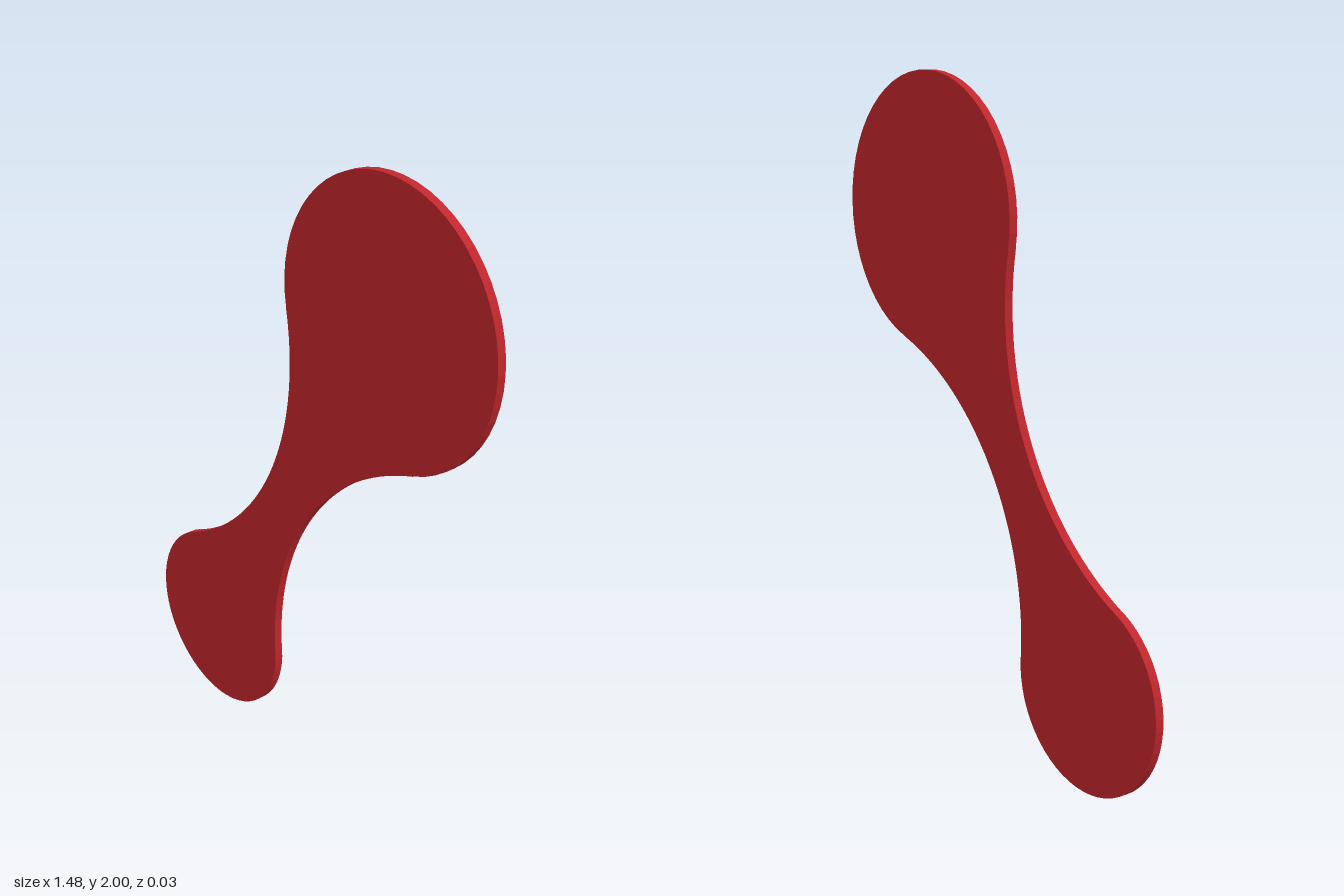
import * as THREE from 'three';

export function createModel() {
  const group = new THREE.Group();
  const thickness = 0.027;
  const small = { x: -0.444, y: 0.297, r: 0.297 };
  const big = { x: 0.325, y: 1.585, r: 0.415 };
  const dx = big.x - small.x, dy = big.y - small.y;
  const length = Math.hypot(dx, dy);

  // Waist arcs, tangent to both round ends; local x runs from small end to big end
  const R = 0.86, cx = 0.653, cy = 0.954;
  const a = Math.atan2(cy, cx);
  const b = Math.atan2(cy, length - cx);

  const shape = new THREE.Shape();
  shape.absarc(0, 0, small.r, a, 2 * Math.PI - a, false);
  shape.absarc(cx, -cy, R, Math.PI - a, b, true);
  shape.absarc(length, 0, big.r, b - Math.PI, Math.PI - b, false);
  shape.absarc(cx, cy, R, -b, a - Math.PI, true);

  // Flat plate, extruded evenly about z = 0
  const geometry = new THREE.ExtrudeGeometry(shape, {
    depth: thickness, bevelEnabled: false, curveSegments: 20,
  });
  geometry.translate(0, 0, -thickness / 2);
  geometry.rotateZ(Math.atan2(dy, dx));
  geometry.translate(small.x, small.y, 0);

  const plate = new THREE.Mesh(geometry, new THREE.MeshStandardMaterial({ color: 0xc1272d }));
  plate.name = 'dumbbellPlate';
  group.add(plate);
  return group;
}
